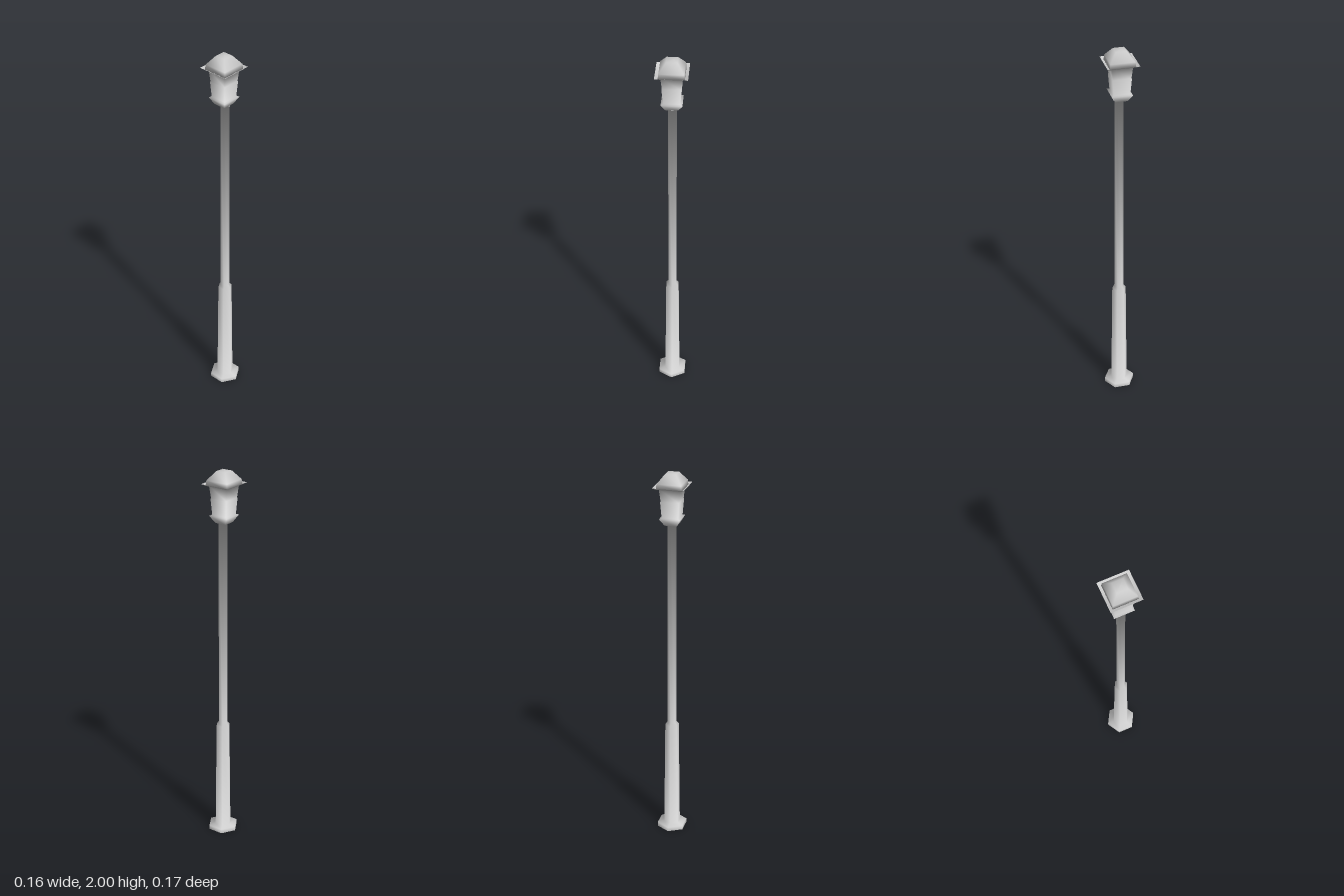
import * as THREE from 'three';

const material = new THREE.MeshStandardMaterial({ color: 0xcccccc, side: THREE.DoubleSide });

// Few-sided turned part; points are [radius, height].
// Each vertex normal averages the adjoining faces equally, whatever their size.
function turned(name, sides, points, x, z) {
  const profile = points.map(([r, y]) => new THREE.Vector2(r, y));
  const geometry = new THREE.LatheGeometry(profile, sides);
  const inset = Math.cos(Math.PI / sides);
  const bands = profile.slice(1).map((p, i) =>
    new THREE.Vector2(p.y - profile[i].y, (profile[i].x - p.x) * inset).normalize());
  const normal = geometry.attributes.normal;
  for (let i = 0; i <= sides; i++) {
    const angle = (i / sides) * Math.PI * 2;
    for (let j = 0; j < profile.length; j++) {
      const sum = new THREE.Vector2();
      if (j > 0) sum.add(bands[j - 1]);
      if (j < bands.length) sum.add(bands[j]);
      sum.x *= inset;
      sum.normalize();
      normal.setXYZ(i * profile.length + j, Math.sin(angle) * sum.x, sum.y, Math.cos(angle) * sum.x);
    }
  }
  const mesh = new THREE.Mesh(geometry, material);
  mesh.name = name;
  mesh.position.set(x, 0, z);
  return mesh;
}

// Hexagonal part with a corner towards the front
function hexagonal(name, points) {
  return turned(name, 6, points, 0.002, 0.001);
}

// Square part; points are [half width, height]
function square(name, points) {
  const mesh = turned(name, 4, points.map(([h, y]) => [h * Math.SQRT2, y]), 0, -0.004);
  mesh.rotation.y = Math.PI / 4;
  return mesh;
}

export function createModel() {
  const group = new THREE.Group();
  group.name = 'streetLamp';

  // Hexagonal foot, thick lower shaft, shoulder and slim pole in one run
  group.add(hexagonal('baseUnderside', [[0, 0], [0.081, 0]]));
  group.add(hexagonal('post', [
    [0.081, 0], [0.081, 0.023], [0.044, 0.027], [0.037, 0.62],
    [0.0245, 0.634], [0.0235, 1.735], [0.031, 1.735],
  ]));

  // Flared cup, tapered glass with a ledge, and the wider band under the roof
  group.add(square('lantern', [
    [0.031, 1.735], [0.053, 1.773], [0.042, 1.777], [0.048, 1.86],
    [0.046, 1.862], [0.053, 1.927], [0.065, 1.927],
  ]));

  // Roof with a thin upturned brim around its foot
  group.add(square('roofBrim', [[0.065, 1.926], [0.081, 1.936]]));
  group.add(square('roof', [[0, 1.926], [0.065, 1.926], [0.062, 1.953], [0.028, 1.998], [0, 2]]));

  return group;
}
